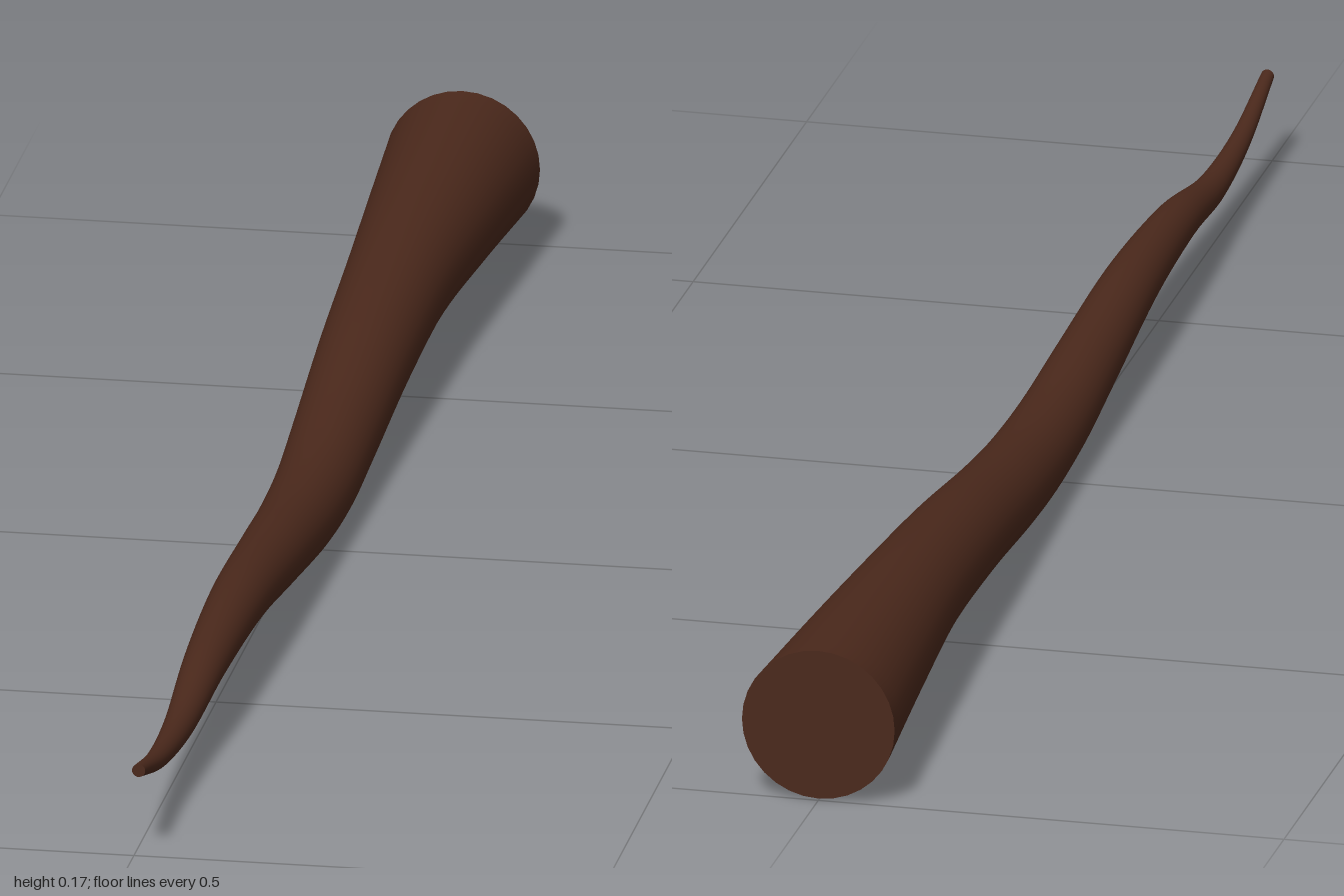
import * as THREE from 'three';
import { mergeVertices } from 'three/addons/utils/BufferGeometryUtils.js';

const SIDES = 32, STEPS = 80;

// Stations along the length: z, centre x, centre y, radius
const stations = [
  [-1.0, 0, 0.087, 0.082], [-0.8, 0, 0.091, 0.069], [-0.6, 0, 0.091, 0.057],
  [-0.4, 0.001, 0.078, 0.051], [-0.2, 0.003, 0.056, 0.046], [-0.07, 0.005, 0.046, 0.043],
  [0.05, 0.005, 0.048, 0.040], [0.2, 0.005, 0.062, 0.036], [0.4, 0.005, 0.080, 0.030],
  [0.6, 0.005, 0.078, 0.023], [0.75, 0.004, 0.062, 0.016], [0.88, 0.004, 0.070, 0.011],
  [1.0, 0.005, 0.097, 0.007],
];
const axis = new THREE.CatmullRomCurve3(stations.map(([z, x, y]) => new THREE.Vector3(x, y, z)));
const girth = new THREE.CatmullRomCurve3(stations.map(([z, , , r]) => new THREE.Vector3(r, 0, z)));

export function createModel() {
  const group = new THREE.Group();
  group.name = 'wavyTaperedStick';
  const material = new THREE.MeshStandardMaterial({ color: 0x4a281b });

  const add = (name, geometry) => {
    const mesh = new THREE.Mesh(geometry, material);
    mesh.name = name;
    group.add(mesh);
    return mesh;
  };

  // Shaft: a unit tube along z, bent and tapered along the stations
  let shaft = new THREE.CylinderGeometry(1, 1, 1, SIDES, STEPS, true).rotateX(Math.PI / 2);
  const pos = shaft.attributes.position;
  for (let i = 0; i < pos.count; i++) {
    const t = THREE.MathUtils.clamp(pos.getZ(i) + 0.5, 0, 1);
    const c = axis.getPoint(t), r = girth.getPoint(t).x;
    pos.setXYZ(i, c.x + pos.getX(i) * r, c.y + pos.getY(i) * r, c.z);
  }
  // Weld the seam so the shading is smooth all round
  shaft.deleteAttribute('uv');
  shaft.deleteAttribute('normal');
  shaft = mergeVertices(shaft, 1e-5);
  shaft.computeVertexNormals();
  add('shaft', shaft);

  // Flat ends
  for (const [name, t, turn] of [['buttEnd', 0, Math.PI], ['tipEnd', 1, 0]]) {
    const cap = add(name, new THREE.CircleGeometry(girth.getPoint(t).x, SIDES, Math.PI / 2));
    cap.position.copy(axis.getPoint(t));
    cap.rotation.y = turn;
  }
  return group;
}
